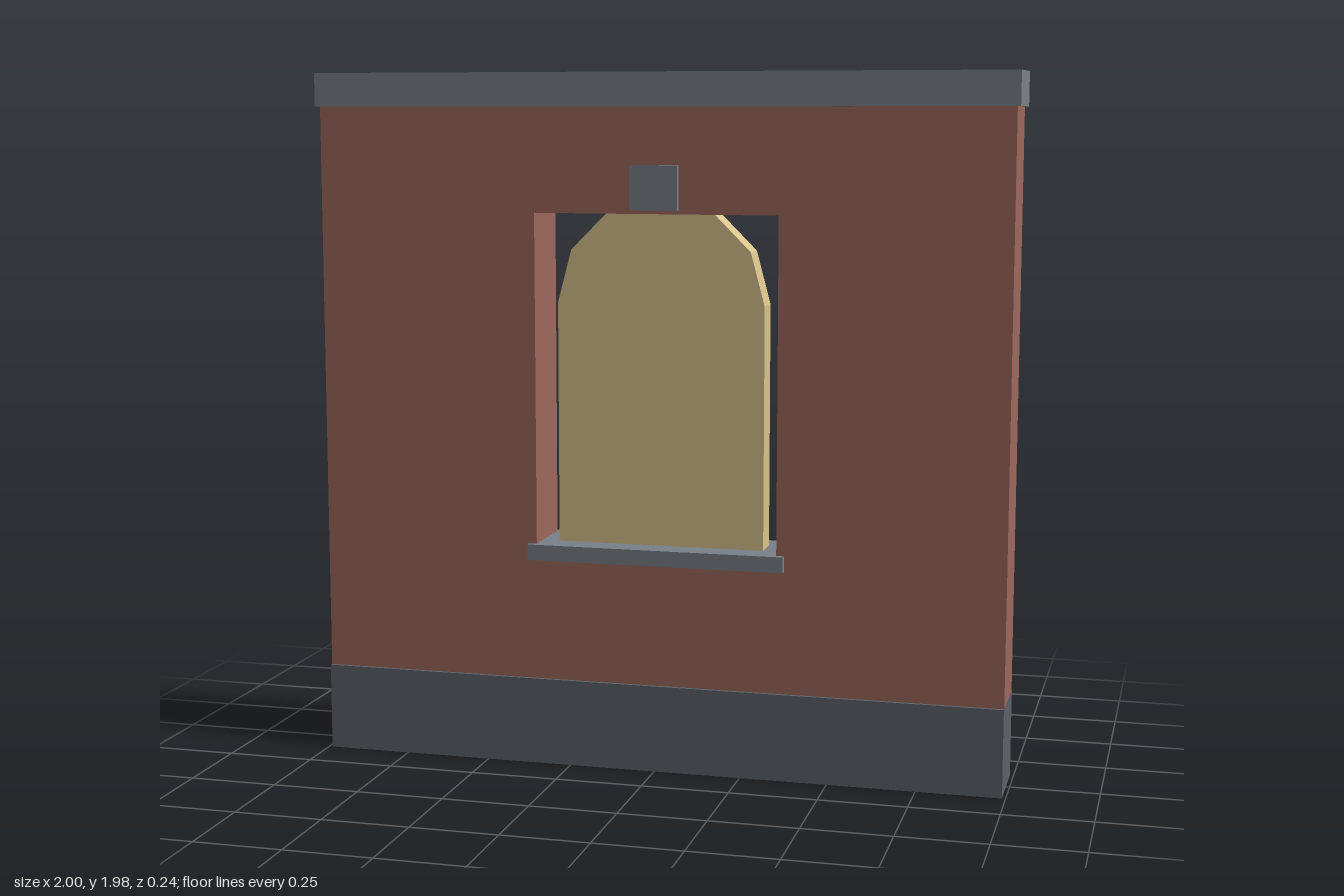
import * as THREE from 'three';

const paint = (color) => new THREE.MeshStandardMaterial({ color, flatShading: true });

export function createModel() {
  const model = new THREE.Group();
  const brick = paint(0x9c685c), trim = paint(0x7a8189), base = paint(0x5c6269), glass = paint(0xdac48c);

  const add = (name, geometry, material) => {
    const mesh = new THREE.Mesh(geometry, material);
    mesh.name = name;
    model.add(mesh);
  };
  // Box centred on x and z, given half width, bottom, top and half depth
  const block = (name, hx, y0, y1, hz, material) =>
    add(name, new THREE.BoxGeometry(2 * hx, y1 - y0, 2 * hz).translate(0, (y0 + y1) / 2, 0), material);
  // Outline extruded evenly to both sides of z = 0
  const slab = (shape, hz) =>
    new THREE.ExtrudeGeometry(shape, { depth: 2 * hz, bevelEnabled: false }).translate(0, 0, -hz);
  const rect = (hx, y0, y1) =>
    [[-hx, y0], [hx, y0], [hx, y1], [-hx, y1]].map(([x, y]) => new THREE.Vector2(x, y));

  // Wall with a rectangular window opening
  const wall = new THREE.Shape(rect(0.99, 0.25, 1.885));
  wall.holes.push(new THREE.Path(rect(0.35, 0.62, 1.59).reverse()));
  add('wall', slab(wall, 0.1), brick);

  // Plinth and coping
  block('plinth', 0.99, 0, 0.25, 0.11, base);
  block('coping', 1, 1.885, 1.98, 0.114, trim);

  // Window pane with a faceted arched head
  const outline = [new THREE.Vector2(-0.3, 0.62), new THREE.Vector2(0.3, 0.62)];
  for (let i = 0; i <= 6; i++) {
    const a = (i * Math.PI) / 6;
    outline.push(new THREE.Vector2(0.3 * Math.cos(a), 1.335 + 0.3 * Math.sin(a)));
  }
  add('windowPane', slab(new THREE.Shape(outline), 0.04), glass);

  // Sill and keystone project from both faces
  block('sill', 0.372, 0.6, 0.645, 0.118, trim);
  block('keystone', 0.068, 1.6, 1.725, 0.118, trim);

  return model;
}
